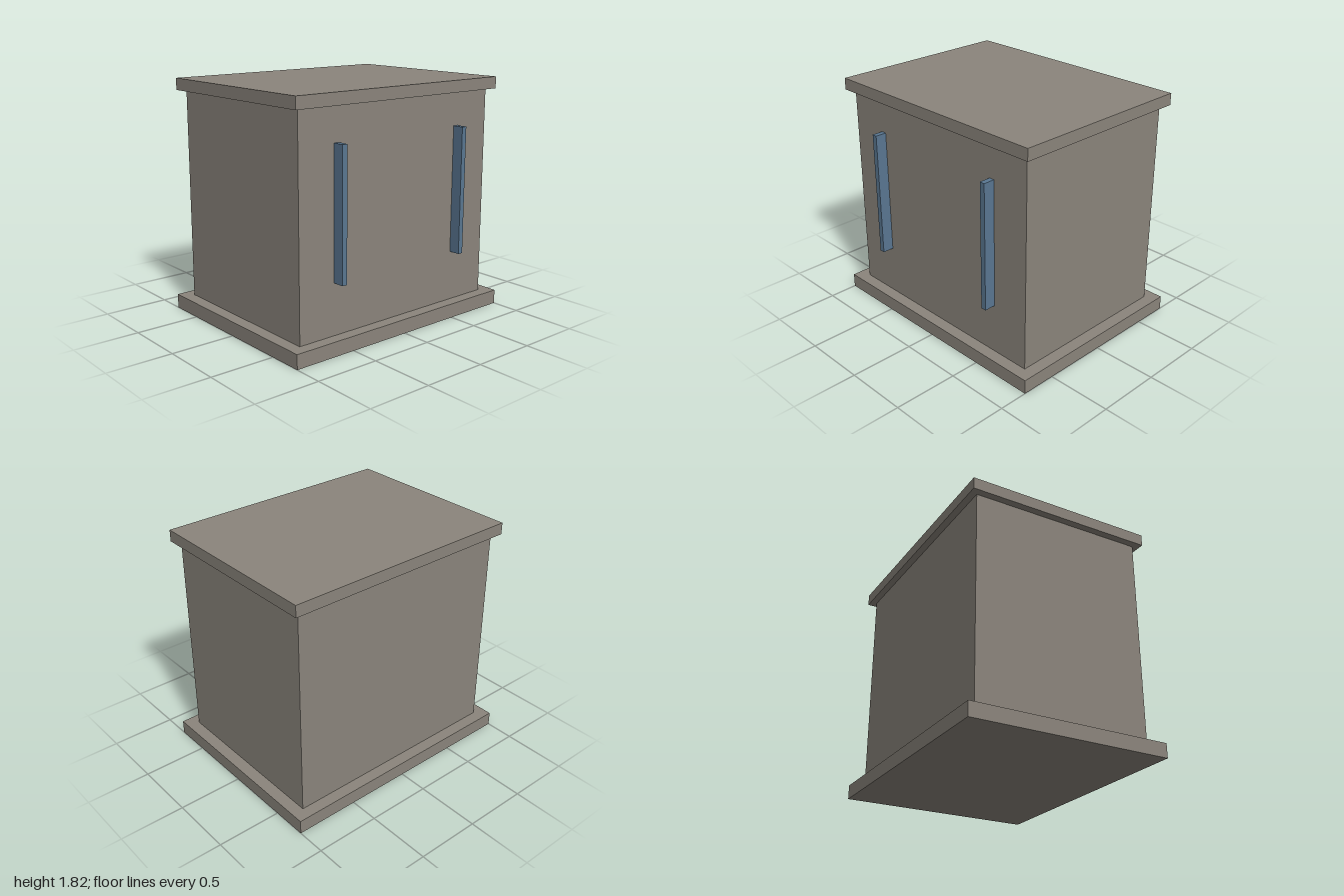
import * as THREE from 'three';

const stone = new THREE.MeshStandardMaterial({ color: 0x8b857c });
stone.name = 'warm grey';
const blue = new THREE.MeshStandardMaterial({ color: 0x5a7792 });
blue.name = 'steel blue';

// Box centred on x, spanning y0..y1 and z0..z1
function slab(name, material, width, y0, y1, z0, z1, x = 0) {
  const mesh = new THREE.Mesh(new THREE.BoxGeometry(width, y1 - y0, z1 - z0), material);
  mesh.position.set(x, (y0 + y1) / 2, (z0 + z1) / 2);
  mesh.name = name;
  return mesh;
}

export function createModel() {
  const model = new THREE.Group();
  model.name = 'cabinet';

  // Plinth, body and overhanging top
  model.add(
    slab('base', stone, 2, 0, 0.11, -0.775, 0.775),
    slab('body', stone, 1.81, 0.11, 1.73, -0.682, 0.682),
    slab('top', stone, 1.92, 1.73, 1.82, -0.735, 0.735),
  );

  // Upright handles on the front
  for (const side of [-1, 1]) {
    const name = side > 0 ? 'leftHandle' : 'rightHandle';
    model.add(slab(name, blue, 0.042, 0.497, 1.475, 0.682, 0.77, side * 0.581));
  }
  return model;
}
